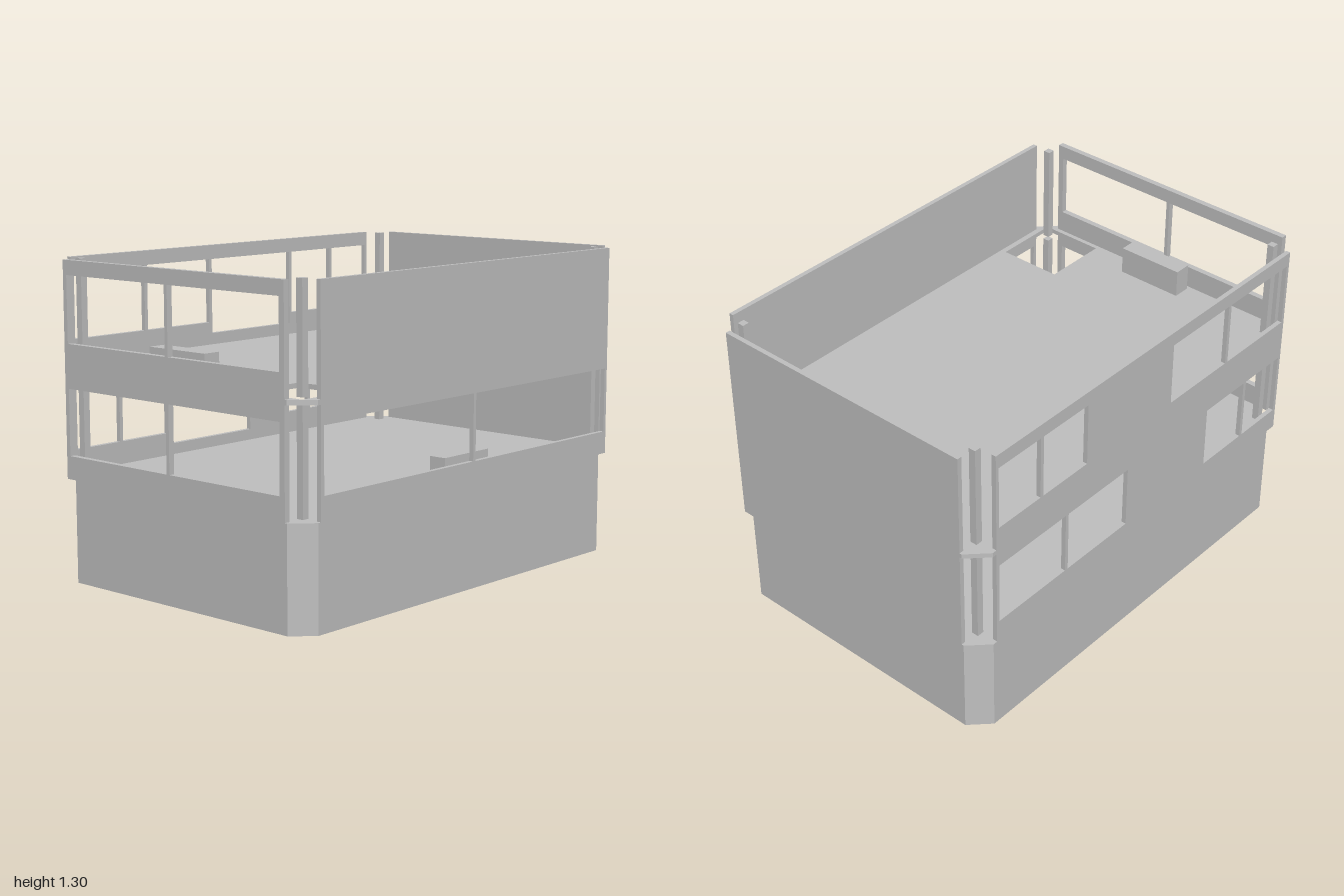
import * as THREE from 'three';

const BASE_TOP = 0.42, SLAB_BOTTOM = 0.85, SLAB_TOP = 0.87, TOP = 1.3;
const HALF_X = 0.69, HALF_Z = 1;

export function createModel() {
  const group = new THREE.Group();
  const grey = new THREE.MeshStandardMaterial({ color: 0xc0c0c0 });
  grey.name = 'light grey';

  function add(name, geometry) {
    const mesh = new THREE.Mesh(geometry, grey);
    mesh.name = name;
    group.add(mesh);
    return mesh;
  }

  function box(name, x0, x1, y0, y1, z0, z1) {
    add(name, new THREE.BoxGeometry(x1 - x0, y1 - y0, z1 - z0))
      .position.set((x0 + x1) / 2, (y0 + y1) / 2, (z0 + z1) / 2);
  }

  function rect(Type, [u0, u1, v0, v1]) {
    return new Type([[u0, v0], [u1, v0], [u1, v1], [u0, v1]].map(p => new THREE.Vector2(...p)));
  }

  // Chamfered floor plan (x, z), extruded down from its top
  function floor(name, bottom, top, hole) {
    const plan = new THREE.Shape([
      [-0.55, HALF_Z], [-HALF_X, 0.85], [-HALF_X, -0.92], [-0.61, -HALF_Z],
      [0.55, -HALF_Z], [HALF_X, -0.85], [HALF_X, 0.92], [0.61, HALF_Z],
    ].map(p => new THREE.Vector2(...p)));
    if (hole) plan.holes.push(rect(THREE.Path, hole));
    const g = new THREE.ExtrudeGeometry(plan, { depth: top - bottom, bevelEnabled: false });
    add(name, g.rotateX(Math.PI / 2).translate(0, top, 0));
  }

  // Upright wall with openings, turned about y so its outer face is at the given distance
  function wall(name, turn, outer, thick, u0, u1, holes = []) {
    const shape = rect(THREE.Shape, [u0, u1, BASE_TOP, TOP]);
    holes.forEach(h => shape.holes.push(rect(THREE.Path, h)));
    const g = new THREE.ExtrudeGeometry(shape, { depth: thick, bevelEnabled: false });
    add(name, g.translate(0, 0, outer - thick).rotateY(turn));
  }

  floor('base', 0, BASE_TOP);
  floor('upperFloor', SLAB_BOTTOM, SLAB_TOP, [0.36, 0.645, 0.665, 0.955]); // with stair opening

  // Front wall: two windows on each storey
  const lower = [0.515, 0.787], upper = [0.967, 1.24];
  const frontWindows = [lower, upper].flatMap(v =>
    [[-0.58, -0.02, ...v], [-0.004, 0.575, ...v]]);
  wall('frontWall', 0, HALF_Z, 0.025, -0.6, 0.6, frontWindows);
  wall('backWall', Math.PI, HALF_Z, 0.02, -0.6, 0.6);

  // Left wall (+x): one long window pair on the lower storey
  wall('leftWall', Math.PI / 2, HALF_X, 0.02, -0.905, 0.9,
    [[-0.888, -0.018, ...lower], [-0.003, 0.885, ...lower]]);

  // Right wall (-x): windows around a taller closed panel, mirrored between storeys
  const sideHoles = [], panels = [];
  for (const [v, dir] of [[lower, 1], [upper, -1]]) {
    const edges = [-0.885, -0.497, -0.122, 0.378, 0.647, 0.885];
    for (let i = 0; i < 5; i++) {
      const a = dir * (edges[i] + (i ? 0.008 : 0));
      const b = dir * (edges[i + 1] - (i < 4 ? 0.008 : 0));
      const isPanel = i === 2;
      const hole = [Math.min(a, b), Math.max(a, b), v[0] - (isPanel ? 0.048 : 0), v[1]];
      sideHoles.push(hole);
      if (isPanel) panels.push(hole);
    }
  }
  wall('rightWall', -Math.PI / 2, HALF_X, 0.02, -0.9, 0.9, sideHoles);

  // Panels are single faces looking outward
  for (const [z0, z1, y0, y1] of panels) {
    const g = new THREE.PlaneGeometry(z1 - z0, y1 - y0).rotateY(-Math.PI / 2);
    add('sidePanel', g.translate(-HALF_X, (y0 + y1) / 2, (z0 + z1) / 2));
  }

  // Corner posts on both storeys
  for (const x of [-0.6, 0.6]) for (const z of [-0.91, 0.905]) {
    box('lowerPost', x - 0.015, x + 0.015, BASE_TOP, SLAB_BOTTOM, z - 0.015, z + 0.015);
    box('upperPost', x - 0.015, x + 0.015, SLAB_TOP, TOP, z - 0.015, z + 0.015);
  }

  // Low cabinets under the windows
  box('lowerCabinet', 0.57, 0.645, BASE_TOP, 0.54, -0.135, 0.14);
  box('upperCabinet', -0.15, 0.15, SLAB_TOP, 0.99, 0.88, 0.957);

  return group;
}
